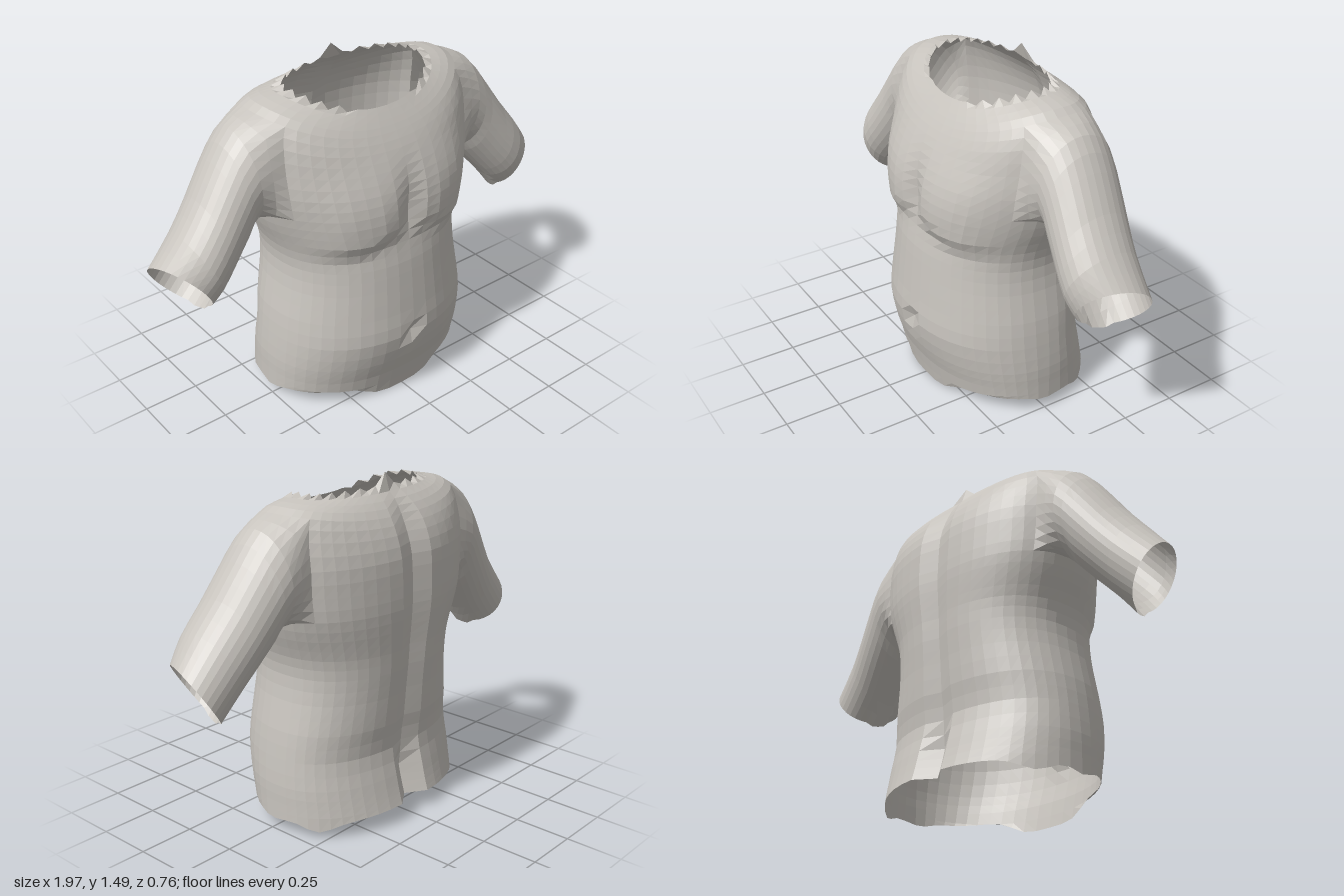
import * as THREE from 'three';

const COLS = 48;            // columns around the torso, column 0 at the front centre
const SUB = 2;              // subdivisions between profile rows
const HOLE = { c0: 8, c1: 16, r0: 9 * SUB, r1: 13 * SUB }; // armhole on the +x side

// Torso profile: [half width, front z, back z, centre z, front y, side y, back y]
const PROFILE = [
  [0.50, 0.31, -0.385, -0.02, 0.00, 0.06, 0.08],
  [0.50, 0.335, -0.37, -0.02, 0.12, 0.13, 0.13],
  [0.50, 0.36, -0.35, -0.02, 0.20, 0.21, 0.21],
  [0.49, 0.385, -0.325, -0.02, 0.33, 0.33, 0.33],
  [0.475, 0.375, -0.34, -0.02, 0.45, 0.45, 0.45],
  [0.45, 0.362, -0.35, -0.02, 0.58, 0.58, 0.58],
  [0.44, 0.35, -0.36, -0.02, 0.69, 0.69, 0.69],
  [0.455, 0.335, -0.365, -0.02, 0.78, 0.78, 0.78],
  [0.49, 0.333, -0.372, -0.03, 0.87, 0.87, 0.87],
  [0.52, 0.332, -0.377, -0.04, 0.96, 0.96, 0.96],
  [0.535, 0.325, -0.375, -0.04, 1.04, 1.06, 1.06],
  [0.54, 0.305, -0.367, -0.05, 1.12, 1.17, 1.17],
  [0.535, 0.275, -0.34, -0.05, 1.19, 1.29, 1.26],
  [0.505, 0.24, -0.30, -0.06, 1.25, 1.38, 1.33],
  [0.425, 0.21, -0.25, -0.06, 1.295, 1.41, 1.385],
  [0.335, 0.178, -0.19, -0.05, 1.34, 1.42, 1.43],
];

// Sleeve sections: [top x, top y, bottom x, bottom y, front z, back z]
const SLEEVE = [
  [0.605, 1.335, 0.55, 0.925, 0.125, -0.23],
  [0.70, 1.22, 0.605, 0.86, 0.13, -0.215],
  [0.79, 1.09, 0.68, 0.775, 0.145, -0.195],
  [0.885, 0.97, 0.75, 0.695, 0.155, -0.175],
  [0.98, 0.855, 0.82, 0.62, 0.135, -0.16],
];

const ROWS = (PROFILE.length - 1) * SUB;
const smooth = THREE.MathUtils.smoothstep;
const bell = (v, w) => Math.exp(-((v / w) ** 2));

// Smooth interpolation of the profile rows
function profileAt(row) {
  const last = PROFILE.length - 1;
  const i = Math.min(Math.floor(row / SUB), last - 1);
  const t = row / SUB - i;
  const at = (n) => PROFILE[THREE.MathUtils.clamp(n, 0, last)];
  return at(i).map((b, n) => {
    const a = at(i - 1)[n], c = at(i + 1)[n], d = at(i + 2)[n];
    return b + 0.5 * t * (c - a + t * (2 * a - 5 * b + 4 * c - d + t * (3 * (b - c) + d - a)));
  });
}

// Chest, navel, spine and lower cleft as small offsets in depth
function relief(x, y, front) {
  const ax = Math.abs(x);
  if (!front) return 0.03 * bell(x, 0.05) + 0.035 * bell(x, 0.04) * (1 - smooth(y, 0.2, 0.32));
  const fold = 0.76 + 0.07 * Math.max(0, 1 - ax / 0.22);
  const chest = smooth(y, fold - 0.02, fold + 0.07) * (1 - smooth(y, 0.9, 1.2));
  const breadth = smooth(ax, 0, 0.12) * (1 - smooth(ax, 0.28, 0.47));
  return 0.035 * chest * breadth
    - 0.012 * bell(x, 0.03) * bell(y - 0.92, 0.1)
    - 0.03 * bell(x, 0.03) * bell(y - 0.32, 0.04);
}

function torsoPoint(row, col) {
  const [w, zf, zb, zc, yf, ys, yb] = profileAt(row);
  const a = (col / COLS) * Math.PI * 2;
  const s = Math.sin(a), c = Math.cos(a);
  const front = c > 0;
  const e = front ? 0.92 : 0.85;
  let x = w * Math.sign(s) * Math.abs(s) ** e;
  let z = zc + ((front ? zf : zb) - zc) * Math.abs(c) ** e;
  let y = ys + ((front ? yf : yb) - ys) * c * c;
  const keep = 1 - smooth(row, ROWS - 6, ROWS);
  z += relief(x, y, front) * keep;
  if (row === 0) {
    // Uneven hem: a dip at the front and a tab on each flank
    if (front) y = 0.068 * smooth(Math.abs(x), 0.1, 0.3);
    y -= 0.035 * bell(z + 0.22, 0.06) + 0.02 * bell(z, 0.06);
  }
  if (row === ROWS) {
    // Ragged neckline with a small tag at the back
    const ragged = smooth(Math.abs(x), 0.12, 0.2) + (front ? 0 : 0.6);
    y += (col % 2 ? 0.012 : -0.012) * Math.min(ragged, 1);
    x *= col % 2 ? 0.97 : 1.02;
    if (col === COLS / 2) y += 0.065;
  }
  return new THREE.Vector3(x, y, z);
}

// Builds a faceted mesh from a grid of points, skipping cells where asked
function gridMesh(name, grid, closed, flip, skip, material) {
  const n = grid[0].length;
  const pos = grid.flat().flatMap((p) => [p.x, p.y, p.z]);
  const index = [];
  for (let i = 0; i < grid.length - 1; i++) {
    for (let j = 0; j < (closed ? n : n - 1); j++) {
      if (skip && skip(i, j)) continue;
      const k = (j + 1) % n;
      const a = i * n + j, b = i * n + k, c = (i + 1) * n + k, d = (i + 1) * n + j;
      if (flip) index.push(a, d, c, a, c, b);
      else index.push(a, b, c, a, c, d);
    }
  }
  const indexed = new THREE.BufferGeometry();
  indexed.setAttribute('position', new THREE.Float32BufferAttribute(pos, 3));
  indexed.setIndex(index);
  const geometry = indexed.toNonIndexed();
  geometry.computeVertexNormals();
  const mesh = new THREE.Mesh(geometry, material);
  mesh.name = name;
  return mesh;
}

// Points around the +x armhole: over the top to the back, down, forward and up
function armholeLoop() {
  const { c0, c1, r0, r1 } = HOLE;
  const loop = [];
  for (let c = c0; c < c1; c++) loop.push(torsoPoint(r1, c));
  for (let r = r1; r > r0; r--) loop.push(torsoPoint(r, c1));
  for (let c = c1; c > c0; c--) loop.push(torsoPoint(r0, c));
  for (let r = r0; r < r1; r++) loop.push(torsoPoint(r, c0));
  return loop;
}

// Sleeve lofted from the armhole through the sections
function sleeveGrid(side) {
  const loop = armholeLoop();
  const topIndex = (HOLE.c1 - HOLE.c0) / 2;
  const steps = 10;
  const columns = loop.map((start, k) => {
    const a = ((k - topIndex) / loop.length) * Math.PI * 2;
    const up = Math.cos(a), back = Math.sin(a);
    const pts = SLEEVE.map(([tx, ty, bx, by, zf, zb], i) => {
      const cuff = i === SLEEVE.length - 1 ? back * 0.035 : 0;
      const tab = i === SLEEVE.length - 1 && up < -0.97 ? 0.015 : 0;
      return new THREE.Vector3(
        (tx + bx) / 2 + (up * (tx - bx)) / 2 + cuff,
        (ty + by) / 2 + (up * (ty - by)) / 2 - cuff * 0.8 - tab,
        (zf + zb) / 2 - (back * (zf - zb)) / 2);
    });
    return new THREE.CatmullRomCurve3([start, ...pts]).getPoints(steps);
  });
  return Array.from({ length: steps + 1 }, (_, s) =>
    columns.map((c) => new THREE.Vector3(c[s].x * side, c[s].y, c[s].z)));
}

export function createModel() {
  const skin = new THREE.MeshStandardMaterial({ color: 0xc8c4be, flatShading: true, side: THREE.DoubleSide });
  skin.name = 'warm grey';
  const group = new THREE.Group();
  group.name = 'upperBody';

  // Torso shell with both armholes left open
  const torso = Array.from({ length: ROWS + 1 }, (_, r) =>
    Array.from({ length: COLS }, (_, c) => torsoPoint(r, c)));
  const { c0, c1, r0, r1 } = HOLE;
  const inHole = (r, c) => r >= r0 && r < r1 &&
    ((c >= c0 && c < c1) || (c >= COLS - c1 && c < COLS - c0));
  group.add(gridMesh('torso', torso, true, false, inHole, skin));

  // Sleeves
  group.add(gridMesh('leftSleeve', sleeveGrid(1), true, true, null, skin));
  group.add(gridMesh('rightSleeve', sleeveGrid(-1), true, false, null, skin));
  return group;
}
